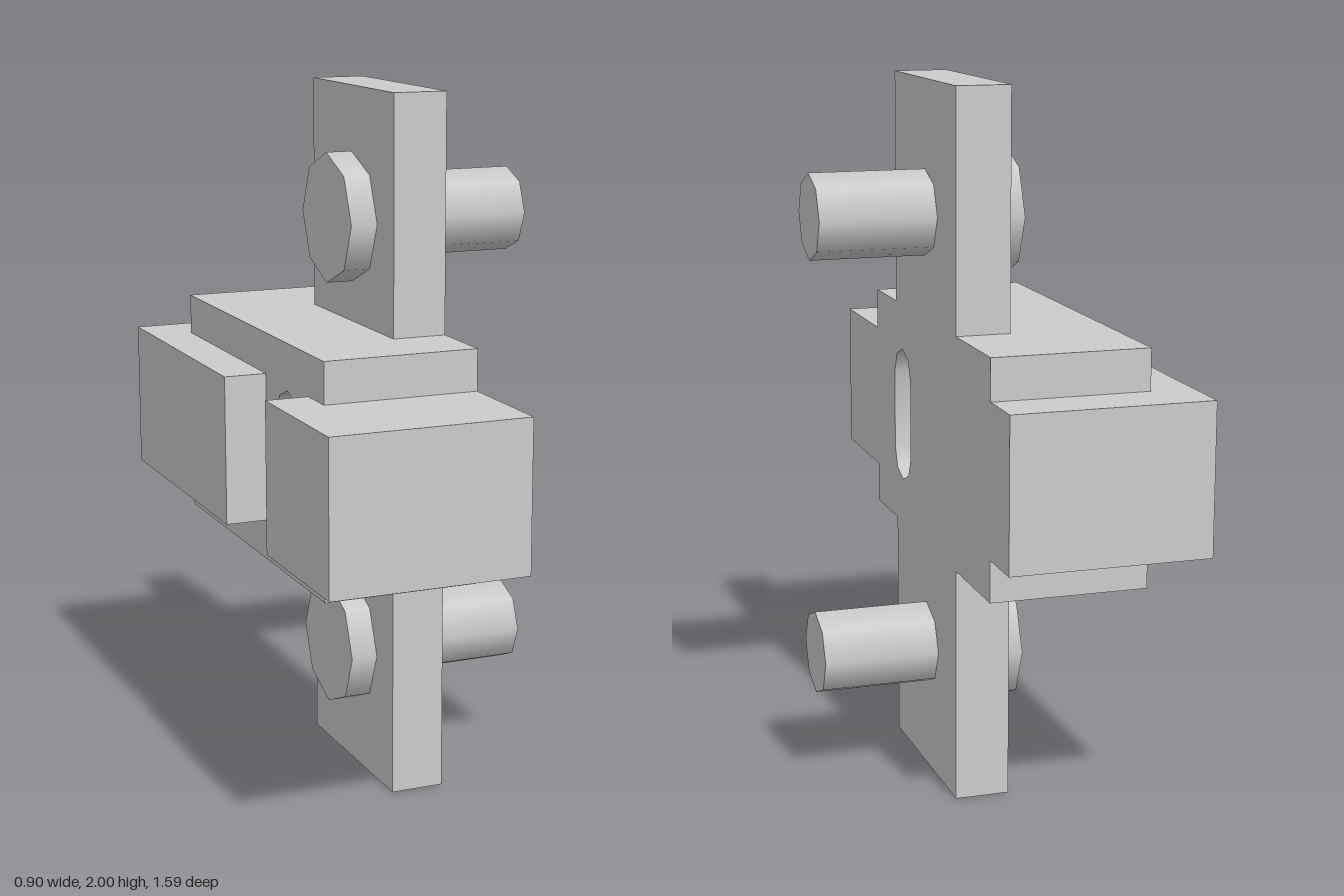
import * as THREE from 'three';
import { toCreasedNormals } from 'three/addons/utils/BufferGeometryUtils.js';

const material = new THREE.MeshStandardMaterial({ color: 0xcccccc });
const MID_Y = 1;
const BACK_X = 0.115; // flat mounting face

// Levels of the stepped body: half height about MID_Y, and extent in z
const plate = { h: 1, z0: -0.34, z1: 0.25 };
const block = { h: 0.33, z0: -0.64, z1: 0.46 };
const bar = { h: 0.213, z0: -0.795, z1: 0.795 };

// Stepped cross outline from nested rectangles, tallest first (shape u = -z)
function crossShape(levels) {
  const quarter = (key) => levels.flatMap((l, i) => {
    const corner = [[-l[key], l.h]];
    if (i > 0) corner.unshift([-levels[i - 1][key], l.h]);
    return corner;
  });
  const left = quarter('z1'), right = quarter('z0');
  const flip = (pts) => pts.map(([u, v]) => [u, -v]);
  const outline = [
    ...flip(left), ...flip(right).reverse(),
    ...right, ...left.slice().reverse(),
  ];
  // The lower half runs from the outside in, then out again
  const lower = [...flip(left).reverse(), ...flip(right)];
  const upper = [...right.slice().reverse(), ...left];
  return new THREE.Shape([...lower, ...upper].slice(0, outline.length)
    .map(([u, v]) => new THREE.Vector2(u, v + MID_Y)));
}

// Upright slot with faceted round ends
function slotHole() {
  const r = 0.082, half = 0.115, z = 0.188, pts = [];
  for (const end of [0, 1]) {
    for (let i = 0; i <= 4; i++) {
      const a = (end + i / 4) * Math.PI;
      pts.push(new THREE.Vector2(-z + r * Math.cos(a), MID_Y + (end ? -half : half) + r * Math.sin(a)));
    }
  }
  return new THREE.Path(pts);
}

// Extrude a shape along x, from x0 to x1
function slab(name, shape, x0, x1) {
  const geo = new THREE.ExtrudeGeometry(shape, { depth: x1 - x0, bevelEnabled: false });
  geo.rotateY(Math.PI / 2).translate(x0, 0, 0);
  const mesh = new THREE.Mesh(toCreasedNormals(geo, 0.9), material);
  mesh.name = name;
  return mesh;
}

// Eight-sided rod along x
function rod(name, radius, x0, x1, y) {
  const geo = new THREE.CylinderGeometry(radius, radius, x1 - x0, 8).rotateZ(-Math.PI / 2);
  const mesh = new THREE.Mesh(geo, material);
  mesh.name = name;
  mesh.position.set((x0 + x1) / 2, y, -0.05);
  return mesh;
}

export function createModel() {
  const group = new THREE.Group();
  group.name = 'slottedBracket';

  // Body: mounting plate, then the thicker centre block, both slotted
  const plateShape = crossShape([plate, block, bar]);
  const blockShape = crossShape([block, bar]);
  plateShape.holes.push(slotHole());
  blockShape.holes.push(slotHole());
  group.add(slab('mountingPlate', plateShape, -0.04, BACK_X));
  group.add(slab('centreBlock', blockShape, -0.33, -0.04));

  // Raised bars either side of the slot
  group.add(slab('longBar', crossShape([{ ...bar, z1: 0.02 }]), -0.452, -0.33));
  group.add(slab('shortBar', crossShape([{ ...bar, z0: 0.345 }]), -0.452, -0.33));

  // Bolts through the upper and lower arms
  for (const [name, y] of [['upperBolt', 1.63], ['lowerBolt', 0.375]]) {
    const bolt = new THREE.Group();
    bolt.name = name;
    bolt.add(rod('boltHead', 0.185, -0.117, -0.04, y), rod('boltShank', 0.121, BACK_X, 0.447, y));
    group.add(bolt);
  }
  return group;
}
